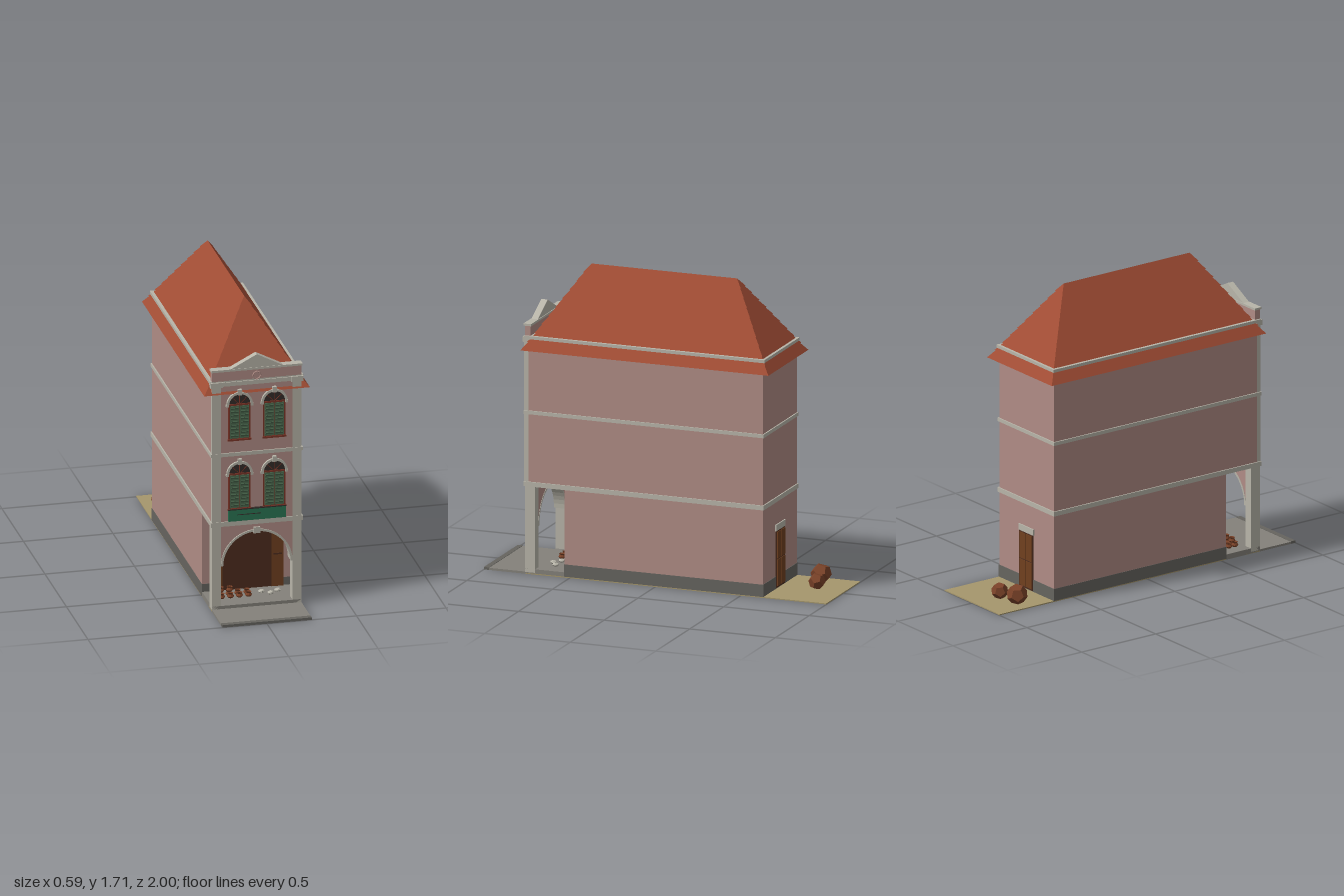
import * as THREE from 'three';

const mat = (color) => new THREE.MeshStandardMaterial({ color, flatShading: true, side: THREE.DoubleSide });
const PINK = mat(0xb08c85), PALE = mat(0xb8b5a9), TILE = mat(0xa04c34), GREY = mat(0x84817a),
  PLINTH = mat(0x66645f), SAND = mat(0xa5966c), GREEN = mat(0x4d6b50), SIGN = mat(0x2a7553),
  RED = mat(0x7d3527), DARK = mat(0x332b28), BROWN = mat(0x70401f), DEEP = mat(0x4d2c1e), CLAY = mat(0x7a4228);

function add(parent, name, geometry, material, x = 0, y = 0, z = 0) {
  const mesh = new THREE.Mesh(geometry, material);
  mesh.name = name;
  mesh.position.set(x, y, z);
  parent.add(mesh);
  return mesh;
}

// Box given by its limits on each axis
function box(parent, name, material, x0, x1, y0, y1, z0, z1) {
  return add(parent, name, new THREE.BoxGeometry(x1 - x0, y1 - y0, z1 - z0), material,
    (x0 + x1) / 2, (y0 + y1) / 2, (z0 + z1) / 2);
}

const extrude = (shape, depth) =>
  new THREE.ExtrudeGeometry(shape, { depth, bevelEnabled: false, curveSegments: 12 });

// Half ring, or half disc when the inner radius is 0; ry stretches the height
function archShape(outer, inner, ry = 1) {
  const s = new THREE.Shape();
  s.moveTo(outer, 0);
  s.absellipse(0, 0, outer, outer * ry, 0, Math.PI, false, 0);
  if (inner > 0) {
    s.lineTo(-inner, 0);
    s.absellipse(0, 0, inner, inner * ry, Math.PI, 0, true, 0);
  }
  s.closePath();
  return s;
}

// Rectangular frustum between two levels {x, back, front, y}
function frustum(a, b) {
  const ring = ({ x, back, front, y }) => [[-x, y, front], [x, y, front], [x, y, back], [-x, y, back]];
  const lo = ring(a), hi = ring(b), pos = [];
  const quad = (p, q, r, s) => pos.push(...p, ...q, ...r, ...p, ...r, ...s);
  for (let i = 0; i < 4; i++) {
    const j = (i + 1) % 4;
    quad(lo[i], lo[j], hi[j], hi[i]);
  }
  quad(lo[3], lo[2], lo[1], lo[0]);
  quad(hi[0], hi[1], hi[2], hi[3]);
  const g = new THREE.BufferGeometry();
  g.setAttribute('position', new THREE.Float32BufferAttribute(pos, 3));
  g.computeVertexNormals();
  return g;
}

function buildRoof() {
  const roof = new THREE.Group();
  roof.name = 'roof';
  const courses = 10;
  const level = (t, out) => ({
    x: 0.289 * (1 - t) + out, back: -0.674 + 0.294 * t - out, front: 0.764 - 0.294 * t + out, y: 1.265 + 0.445 * t,
  });
  for (let i = 0; i < courses; i++) {
    add(roof, 'tileCourse', frustum(level(i / courses, 0.006), level((i + 1) / courses, 0)), TILE);
  }
  return roof;
}

// Arched window with louvred shutters, origin at the sill centre on the wall
function buildWindow() {
  const w = new THREE.Group();
  w.name = 'window';
  const half = 0.062, h = 0.205;
  box(w, 'frame', RED, -half, half, 0, h, -0.01, 0.004);
  for (const s of [-1, 1]) {
    const leaf = box(w, 'shutter', GREEN, -0.026, 0.026, 0.008, h - 0.008, 0.003, 0.007);
    leaf.position.x = s * 0.0275;
    for (let i = 0; i < 9; i++) {
      const slat = add(w, 'louvre', new THREE.BoxGeometry(0.042, 0.011, 0.003), GREEN, s * 0.0275, 0.022 + i * 0.02, 0.008);
      slat.rotation.x = 0.45;
    }
  }
  add(w, 'fanlight', extrude(archShape(0.06, 0), 0.014), DARK, 0, h, -0.01);
  for (let i = 1; i < 4; i++) {
    const a = i * Math.PI / 4;
    const bar = add(w, 'fanlightBar', new THREE.BoxGeometry(0.056, 0.003, 0.003), RED,
      Math.cos(a) * 0.028, h + Math.sin(a) * 0.028, 0.005);
    bar.rotation.z = a;
  }
  box(w, 'transom', RED, -half, half, h - 0.004, h + 0.004, 0, 0.008);
  add(w, 'archTrim', extrude(archShape(0.073, 0.06), 0.024), PALE, 0, h, -0.01);
  for (const s of [-1, 1]) box(w, 'trimFoot', PALE, s * 0.068 - 0.008, s * 0.068 + 0.008, h - 0.01, h + 0.003, -0.005, 0.013);
  box(w, 'keystone', PALE, -0.011, 0.011, h + 0.056, h + 0.088, -0.01, 0.018);
  box(w, 'sill', RED, -half - 0.004, half + 0.004, -0.006, 0.004, -0.005, 0.01);
  return w;
}

function buildArcade() {
  const arcade = new THREE.Group();
  arcade.name = 'arcade';
  // Front wall with a round arch between the corner pillars
  const s = new THREE.Shape();
  s.moveTo(0.2, 0.5);
  s.lineTo(-0.2, 0.5);
  s.lineTo(-0.2, 0.26);
  s.absellipse(0, 0.26, 0.2, 0.195, Math.PI, 0, true, 0);
  s.closePath();
  add(arcade, 'archWall', extrude(s, 0.055), PINK, 0, 0, 0.702);
  add(arcade, 'archTrim', extrude(archShape(0.2, 0.188), 0.064), PALE, 0, 0.262, 0.7);
  box(arcade, 'keystone', PALE, -0.018, 0.018, 0.44, 0.475, 0.7, 0.768);
  for (const x of [-0.225, 0.225]) {
    box(arcade, 'pillar', PALE, x - 0.025, x + 0.025, 0.01, 0.5, 0.7, 0.76);
  }
  box(arcade, 'floor', GREY, -0.25, 0.25, 0, 0.03, 0.53, 0.76);
  // Shop doors: deep centre with a leaf folded back to each side
  box(arcade, 'shopDoor', DEEP, -0.14, 0.14, 0.03, 0.41, 0.525, 0.534);
  box(arcade, 'doorLintel', PALE, -0.2, 0.2, 0.41, 0.47, 0.525, 0.536);
  for (const x of [-0.17, 0.17]) {
    box(arcade, 'doorLeaf', BROWN, x - 0.033, x + 0.033, 0.03, 0.41, 0.525, 0.539);
    box(arcade, 'doorRail', DEEP, x - 0.025, x + 0.025, 0.215, 0.223, 0.53, 0.542);
  }
  // Wares set out on the floor
  const profile = [[0, 0], [0.011, 0], [0.02, 0.01], [0.013, 0.022], [0.017, 0.028]].map(p => new THREE.Vector2(...p));
  const pot = new THREE.LatheGeometry(profile, 8);
  for (let i = 0; i < 8; i++) {
    add(arcade, 'pot', pot, CLAY, -0.17 + (i % 4) * 0.05, 0.03, 0.61 + Math.floor(i / 4) * 0.04);
  }
  for (const x of [-0.17, -0.12]) add(arcade, 'stackedPot', pot, CLAY, x, 0.06, 0.63);
  for (let i = 0; i < 3; i++) {
    const sack = add(arcade, 'sack', new THREE.IcosahedronGeometry(0.02, 0), PALE, 0.06 + i * 0.045, 0.04, 0.62 + (i % 2) * 0.03);
    sack.scale.y = 0.6;
  }
  return arcade;
}

function buildFacade() {
  const f = new THREE.Group();
  f.name = 'facade';
  for (const x of [-0.225, 0.225]) {
    box(f, 'pilaster', PALE, x - 0.0255, x + 0.0255, 0.5, 1.33, 0.74, 0.764);
    box(f, 'pilasterCap', PALE, x - 0.034, x + 0.034, 1.305, 1.335, 0.73, 0.77);
  }
  for (const y of [0.59, 0.995]) {
    for (const x of [-0.097, 0.097]) {
      const w = buildWindow();
      w.position.set(x, y, 0.76);
      f.add(w);
    }
  }
  box(f, 'signBoard', SIGN, -0.16, 0.16, 0.522, 0.59, 0.755, 0.773);
  box(f, 'signTop', DARK, -0.162, 0.162, 0.587, 0.592, 0.755, 0.775);
  box(f, 'signLine', DARK, -0.11, 0.02, 0.557, 0.561, 0.77, 0.775);
  // Parapet and pediment
  box(f, 'parapet', PINK, -0.25, 0.25, 1.27, 1.395, 0.727, 0.76);
  box(f, 'parapetCornice', PALE, -0.25, 0.25, 1.31, 1.333, 0.725, 0.766);
  box(f, 'parapetCap', PALE, -0.255, 0.255, 1.395, 1.407, 0.722, 0.767);
  const p = new THREE.Shape([[-0.145, 0], [0.145, 0], [0, 0.075]].map(v => new THREE.Vector2(...v)));
  add(f, 'pediment', extrude(p, 0.038), PALE, 0, 1.407, 0.726);
  add(f, 'rosette', new THREE.TorusGeometry(0.022, 0.004, 4, 8), PINK, 0, 1.36, 0.762);
  return f;
}

export function createModel() {
  const house = new THREE.Group();
  house.name = 'townHouse';

  // Ground
  box(house, 'yard', SAND, -0.25, 0.25, 0, 0.006, -1, 0.76);
  box(house, 'pavement', GREY, -0.25, 0.25, 0, 0.012, 0.76, 0.97);
  box(house, 'kerb', PLINTH, -0.25, 0.25, 0, 0.014, 0.97, 1);

  // Walls and string courses
  box(house, 'lowerWalls', PINK, -0.25, 0.25, 0.005, 0.5, -0.63, 0.53);
  box(house, 'upperWalls', PINK, -0.25, 0.25, 0.495, 1.28, -0.63, 0.76);
  box(house, 'plinth', PLINTH, -0.252, 0.252, 0.006, 0.075, -0.633, 0.532);
  for (const [y0, y1] of [[0.494, 0.52], [0.9, 0.92]]) {
    box(house, 'stringCourse', PALE, -0.257, 0.257, y0, y1, -0.637, 0.767);
  }
  box(house, 'eavesBand', PALE, -0.26, 0.26, 1.323, 1.34, -0.642, 0.76);

  // Back door
  box(house, 'backDoorFrame', DEEP, -0.062, 0.062, 0.01, 0.33, -0.636, -0.62);
  for (const x of [-0.029, 0.029]) {
    for (const y of [0.02, 0.175]) box(house, 'backDoorPanel', BROWN, x - 0.026, x + 0.026, y, y + 0.148, -0.64, -0.62);
  }
  box(house, 'backDoorLintel', PALE, -0.068, 0.068, 0.33, 0.365, -0.637, -0.62);

  // Large jars behind the house
  for (const [x, z, r] of [[-0.155, -0.81, 0.058], [-0.03, -0.835, 0.047]]) {
    const jar = add(house, 'jar', new THREE.DodecahedronGeometry(r, 0), CLAY, x, r * 0.95, z);
    jar.rotation.set(0.3, 0.4, 0);
  }

  house.add(buildArcade(), buildFacade(), buildRoof());
  return house;
}
